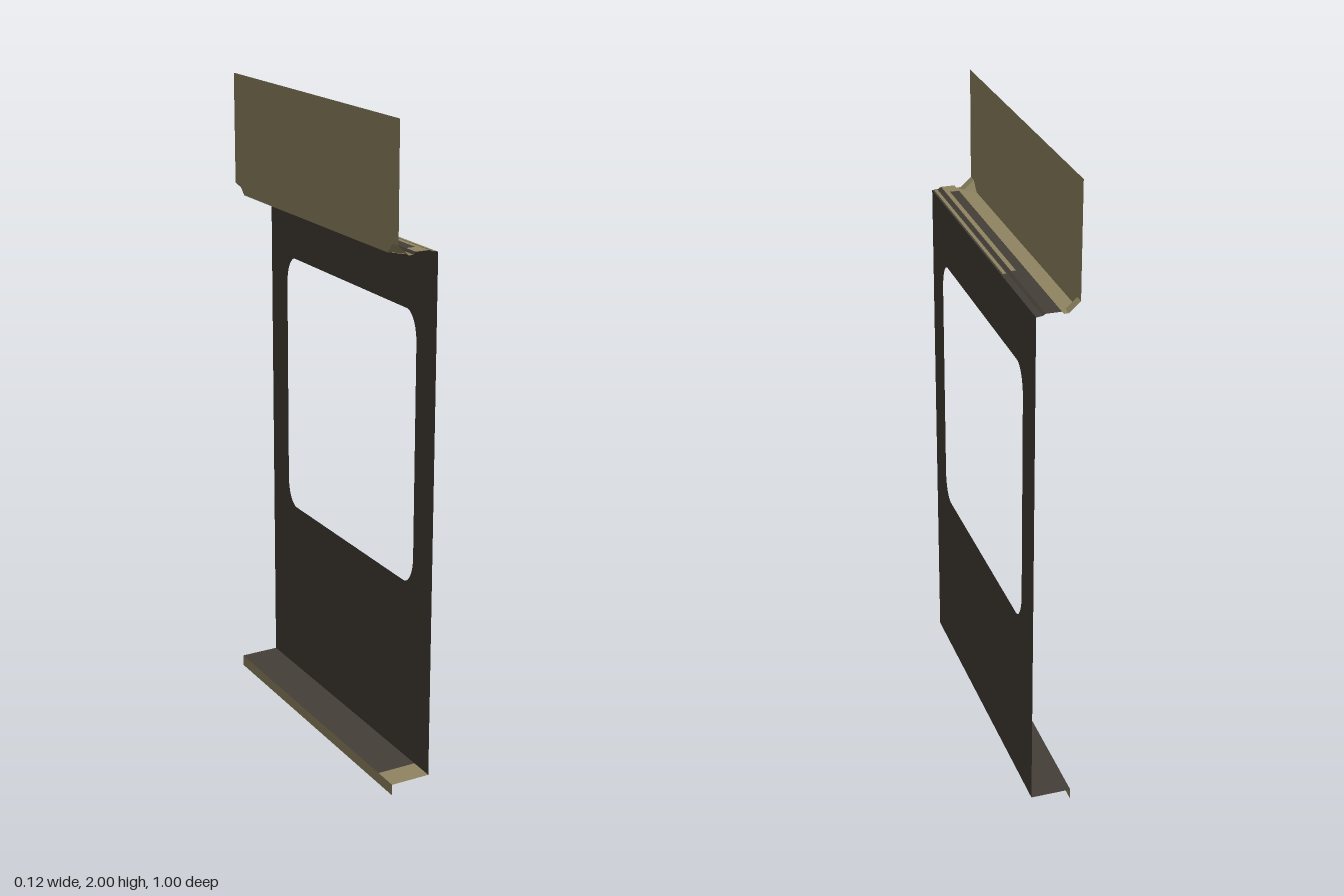
import * as THREE from 'three';

const tan = new THREE.MeshStandardMaterial({ color: 0x8f8561, side: THREE.DoubleSide });
tan.name = 'khaki paint';
const dark = new THREE.MeshStandardMaterial({ color: 0x443e37, side: THREE.DoubleSide });
dark.name = 'dark brown paint';

const X = 0.0625, Z = 0.5, TOP = 1.63, RIDGE = 1.637, BASE = 0.035;

// flat convex sheet from its corners, triangulated as a fan
function sheet(name, material, corners) {
  const g = new THREE.BufferGeometry();
  g.setAttribute('position', new THREE.Float32BufferAttribute(corners.flat(), 3));
  const index = [];
  for (let i = 1; i < corners.length - 1; i++) index.push(0, i, i + 1);
  g.setIndex(index);
  g.computeVertexNormals();
  const mesh = new THREE.Mesh(g, material);
  mesh.name = name;
  return mesh;
}

// strip between two profile points (x, y), run along z
function strip(name, material, [x0, y0], [x1, y1], z0 = -Z, z1 = Z) {
  return sheet(name, material, [[x0, y0, z1], [x1, y1, z1], [x1, y1, z0], [x0, y0, z0]]);
}

// wall panel with a rounded window opening
function wallPanel() {
  const s = new THREE.Shape();
  s.moveTo(-Z, BASE).lineTo(Z, BASE).lineTo(Z, TOP).lineTo(-Z, TOP).closePath();
  const hole = new THREE.Path();
  const a = 0.394, b = 0.605, t = 1.435, rz = 0.055, ry = 0.09;
  hole.moveTo(-a + rz, b);
  hole.lineTo(a - rz, b);
  hole.absellipse(a - rz, b + ry, rz, ry, -Math.PI / 2, 0);
  hole.absellipse(a - rz, t - ry, rz, ry, 0, Math.PI / 2);
  hole.absellipse(-a + rz, t - ry, rz, ry, Math.PI / 2, Math.PI);
  hole.absellipse(-a + rz, b + ry, rz, ry, Math.PI, Math.PI * 1.5);
  s.holes.push(hole);
  const g = new THREE.ShapeGeometry(s, 8);
  g.rotateY(Math.PI / 2);
  g.translate(X, 0, 0);
  const mesh = new THREE.Mesh(g, dark);
  mesh.name = 'wallPanel';
  return mesh;
}

export function createModel() {
  const model = new THREE.Group();
  model.name = 'windowWallSection';
  model.add(wallPanel());

  // upright fascia with its lower corners cut for the gussets
  model.add(sheet('fascia', tan, [
    [-X, 2, Z], [-X, 1.66, Z], [-X, 1.66, 0.47], [-X, TOP, 0.44],
    [-X, TOP, -0.44], [-X, 1.66, -0.47], [-X, 1.66, -Z], [-X, 2, -Z],
  ]));

  // gutter floor between the fascia and the roof ridge
  model.add(sheet('gutterFloor', tan, [
    [-0.015, TOP, Z], [-0.015, TOP, -Z], [-0.03, TOP, -Z], [-0.03, TOP, -0.47],
    [-X, TOP, -0.44], [-X, TOP, 0.44], [-0.03, TOP, 0.47], [-0.03, TOP, Z],
  ]));

  // sloping gussets at both gutter ends
  for (const s of [1, -1]) {
    model.add(sheet('gussetSlope', tan, [
      [-X, 1.66, 0.47 * s], [-X, 1.66, Z * s], [-0.03, TOP, Z * s], [-0.03, TOP, 0.47 * s]]));
    model.add(sheet('gussetEnd', tan, [
      [-X, 1.66, 0.47 * s], [-0.03, TOP, 0.47 * s], [-X, TOP, 0.44 * s]]));
  }

  // stepped ridge from the gutter to the panel
  const ridge = [[-0.015, TOP], [-0.009, RIDGE], [0.036, RIDGE], [0.044, TOP + 0.002], [X, TOP]];
  for (let i = 0; i < ridge.length - 1; i++) model.add(strip('ridge', dark, ridge[i], ridge[i + 1]));

  // light patches on the ridge
  const y = RIDGE + 0.001;
  model.add(strip('ridgePatch', tan, [0.02, y], [0.034, y], -0.2, Z));
  model.add(strip('ridgeEndPatch', tan, [-0.009, y], [0.02, y], 0.45, Z));
  model.add(strip('ridgeEdgePatch', tan, [0.048, TOP + 0.003], [0.058, TOP + 0.002], -0.2, Z));

  // bottom ledge, its light end and the lip hanging from it
  model.add(strip('ledge', dark, [-X, BASE], [X, BASE], -Z, 0.42));
  model.add(strip('ledgeEnd', tan, [-X, BASE], [X, BASE], 0.42, Z));
  model.add(strip('lip', tan, [-X, 0], [-X, BASE]));
  return model;
}
